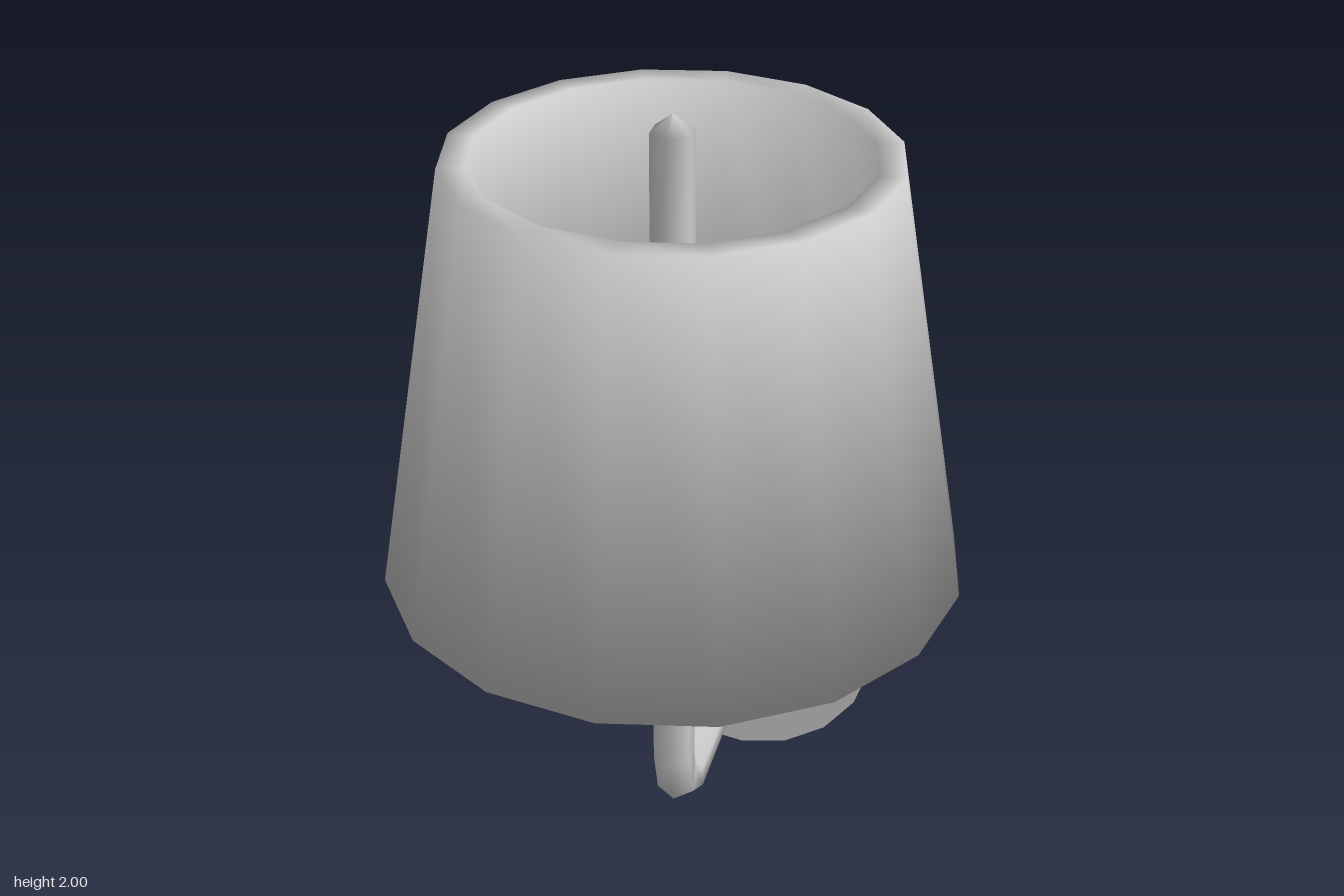
import * as THREE from 'three';

const AXIS_Z = 0.08; // the upright stem and the shade share this axis
const material = new THREE.MeshStandardMaterial({ color: 0xcccccc });

function part(name, geometry) {
  const mesh = new THREE.Mesh(geometry, material);
  mesh.name = name;
  return mesh;
}

// Six-sided rod swept through stations [z, y, tilt, radius] in the x = 0 plane
function sweptRod(stations, sides = 6) {
  const positions = [], index = [];
  stations.forEach(([z, y, tilt, r], i) => {
    for (let j = 0; j < sides; j++) {
      const a = (j / sides) * Math.PI * 2;
      const u = r * Math.cos(a); // in the bend plane, across the path
      positions.push(r * Math.sin(a), y + u * Math.cos(tilt), z - u * Math.sin(tilt));
      if (i === 0) continue;
      const k = (j + 1) % sides;
      const a0 = (i - 1) * sides + j, b0 = (i - 1) * sides + k;
      const a1 = i * sides + j, b1 = i * sides + k;
      index.push(a0, a1, b0, b0, a1, b1);
    }
  });
  const geometry = new THREE.BufferGeometry();
  geometry.setAttribute('position', new THREE.Float32BufferAttribute(positions, 3));
  geometry.setIndex(index);
  geometry.computeVertexNormals();
  return geometry;
}

// Turned ring from corners [radius, y, outward normal, upward normal], soft over its rims
function softRing(corners, sides) {
  const geometry = new THREE.LatheGeometry(corners.map(([r, y]) => new THREE.Vector2(r, y)), sides);
  const normal = geometry.attributes.normal;
  for (let i = 0; i < normal.count; i++) {
    const angle = (Math.floor(i / corners.length) / sides) * Math.PI * 2;
    const [, , out, up] = corners[i % corners.length];
    normal.setXYZ(i, out * Math.sin(angle), up, out * Math.cos(angle));
  }
  return geometry;
}

export function createModel() {
  const lamp = new THREE.Group();
  lamp.name = 'wallLamp';

  // Wall plate, wider at its front
  const plate = new THREE.CylinderGeometry(0.345, 0.31, 0.07, 18);
  plate.rotateX(Math.PI / 2).scale(0.96, 1, 1).translate(0, 0.345, -0.66);
  lamp.add(part('wallPlate', plate));

  // Arm out from the wall, bend, stem with a narrow neck and a pointed tip
  const up = Math.PI / 2;
  lamp.add(part('armAndStem', sweptRod([
    [-0.64, 0.347, 0, 0.049],
    [-0.02, 0.347, 0, 0.049],
    [0.053, 0.388, up / 2, 0.047],
    [AXIS_Z, 0.48, up, 0.047],
    [AXIS_Z, 0.72, up, 0.047],
    [AXIS_Z, 1.05, up, 0.028],
    [AXIS_Z, 1.3, up, 0.028],
    [AXIS_Z, 1.36, up, 0.047],
    [AXIS_Z, 1.965, up, 0.047],
    [AXIS_Z, 2.0, up, 0],
  ])));

  // Tapered shade, open at both ends, with wall thickness
  const n = Math.SQRT1_2;
  const shade = softRing([
    [0.545, 1.0, -n, -n],
    [0.61, 1.0, n, -n],
    [0.455, 1.915, n, n],
    [0.4, 1.915, -n, n],
    [0.545, 1.0, -n, -n],
  ], 16);
  shade.translate(0, 0, AXIS_Z);
  lamp.add(part('shade', shade));

  return lamp;
}
